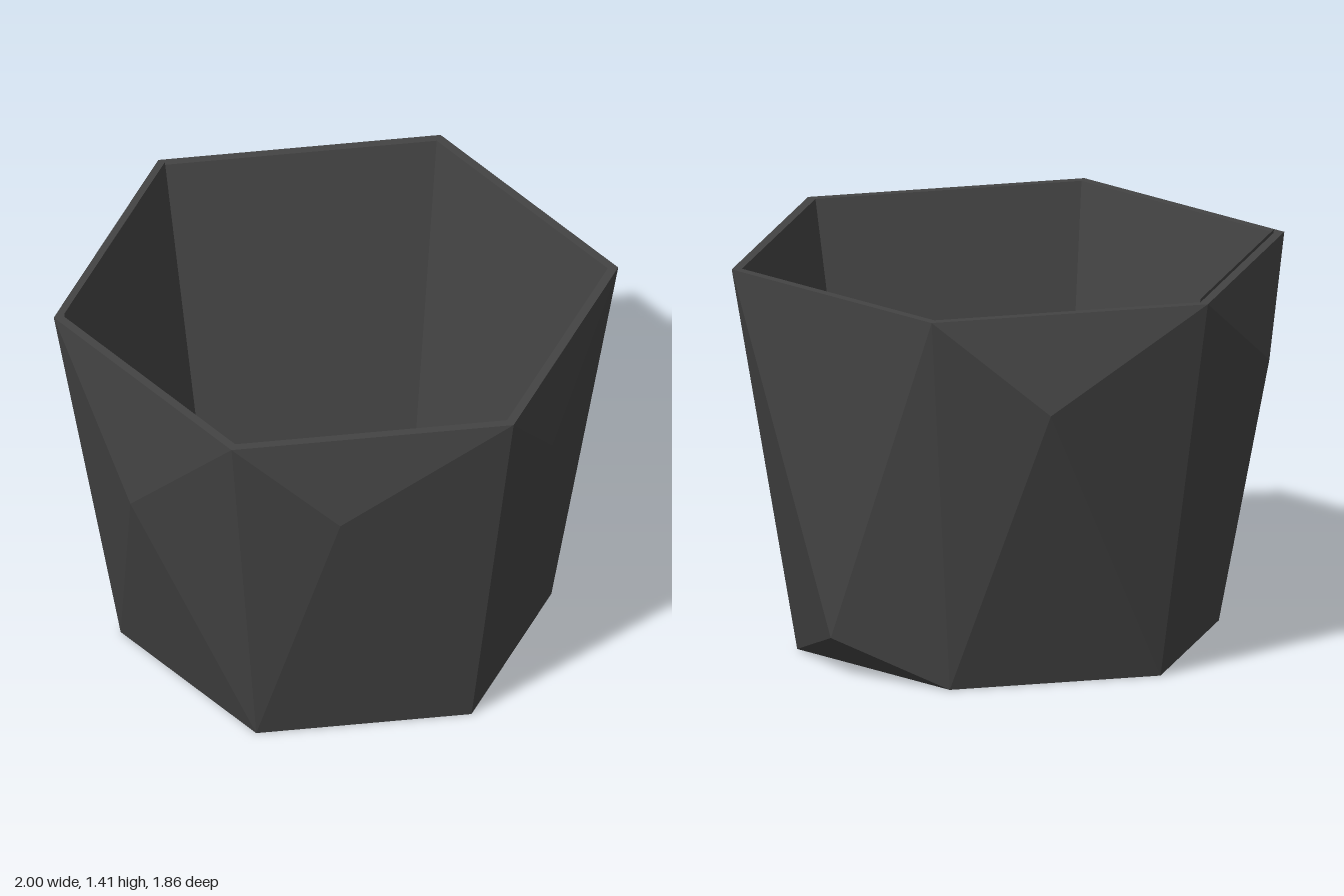
import * as THREE from 'three';

const CENTRE_Z = 0.02;

// Six corners of a level hexagon, starting at +x and turning towards +z
function hexagon(radius, y) {
  return Array.from({ length: 6 }, (_, i) => {
    const a = (i * Math.PI) / 3;
    return [radius * Math.cos(a), y, CENTRE_Z + radius * Math.sin(a)];
  });
}

// Triangles from an apex to each edge of a closed, counter-clockwise outline
function fan(apex, outline) {
  return outline.flatMap((p, i) => [apex, p, outline[(i + 1) % outline.length]]);
}

function quad(a, b, c, d) {
  return [a, b, c, a, c, d];
}

export function createModel() {
  const group = new THREE.Group();
  group.name = 'facetedPot';
  const charcoal = new THREE.MeshStandardMaterial({ color: 0x444444, flatShading: true, side: THREE.DoubleSide });
  charcoal.name = 'charcoal';

  function add(name, points) {
    const geometry = new THREE.BufferGeometry();
    geometry.setAttribute('position', new THREE.Float32BufferAttribute(points.flat(), 3));
    geometry.computeVertexNormals();
    const mesh = new THREE.Mesh(geometry, charcoal);
    mesh.name = name;
    group.add(mesh);
  }

  const base = hexagon(0.763, 0);
  const rim = hexagon(1, 1.395);
  const innerRim = hexagon(0.963, 1.395);
  const floor = hexagon(0.727, 0.04);

  // One irregular facet point for each outer side
  const apexes = [
    [0.685, 1.05, 0.56], [-0.12, 1.05, 0.925], [-0.79, 0.86, 0.43],
    [-0.84, 1.05, -0.39], [0.09, 1.05, -0.93], [0.75, 0.15, -0.4],
  ];

  const outer = [], inner = [], lip = [], underside = [];
  for (let i = 0; i < 6; i++) {
    const n = (i + 1) % 6;
    outer.push(...fan(apexes[i], [base[n], base[i], rim[i], rim[n]]));
    // The inner panel of one side stands slightly above the rim
    const lift = ([x, y, z]) => [x, y + (i === 3 ? 0.012 : 0), z];
    inner.push(...quad(floor[i], floor[n], lift(innerRim[n]), lift(innerRim[i])));
    lip.push(...quad(rim[i], innerRim[i], innerRim[n], rim[n]));
    underside.push([0, 0, CENTRE_Z], base[i], base[n]);
  }
  add('outerWall', outer);
  add('innerWall', inner);
  add('rim', lip);
  add('underside', underside);

  // Slightly uneven floor inside
  const middle = [0, 0.055, 0];
  const floorFaces = [
    ...fan([0, 0.036, -0.3], [middle, floor[5], floor[4]]),
    ...fan([0.28, 0.05, 0.17], [middle, floor[1], floor[0], floor[5]]),
  ];
  for (let i = 1; i < 4; i++) floorFaces.push(middle, floor[i + 1], floor[i]);
  add('innerFloor', floorFaces);

  return group;
}
